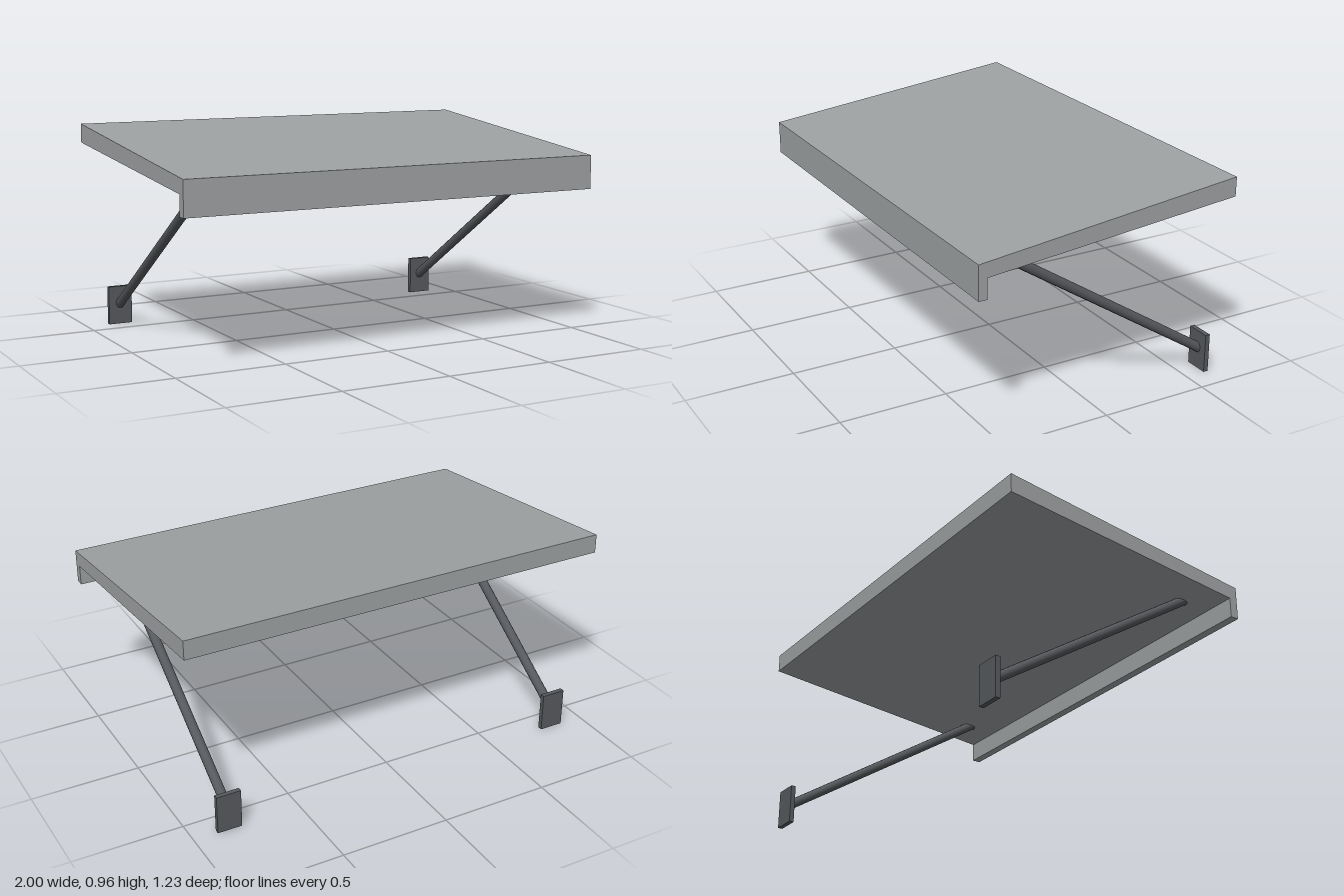
import * as THREE from 'three';

export function createModel() {
  const model = new THREE.Group();
  model.name = 'awning';
  const roofGrey = new THREE.MeshStandardMaterial({ color: 0x9ea1a2 });
  roofGrey.name = 'roof grey';
  const darkSteel = new THREE.MeshStandardMaterial({ color: 0x56595d });
  darkSteel.name = 'dark steel';

  // Sloping roof with a front lip: side profile (z, y) extruded across x
  const profile = new THREE.Shape([
    [0.615, 0.825], [-0.615, 0.957], [-0.615, 0.87],
    [0.575, 0.762], [0.575, 0.67], [0.615, 0.67],
  ].map(([z, y]) => new THREE.Vector2(z, y)));
  const roofGeometry = new THREE.ExtrudeGeometry(profile, { depth: 2, bevelEnabled: false });
  roofGeometry.translate(0, 0, -1).rotateY(-Math.PI / 2);
  const roof = new THREE.Mesh(roofGeometry, roofGrey);
  roof.name = 'roof';
  model.add(roof);

  // Diagonal struts and their wall plates, one on each side
  const plateGeometry = new THREE.BoxGeometry(0.113, 0.18, 0.022);
  const bottom = new THREE.Vector3(0, 0.095, -0.603);
  const top = new THREE.Vector3(0, 0.788, 0.455);
  const along = top.clone().sub(bottom);
  const strutGeometry = new THREE.CylinderGeometry(0.022, 0.022, along.length(), 12);
  const tilt = new THREE.Quaternion().setFromUnitVectors(
    new THREE.Vector3(0, 1, 0), along.clone().normalize());

  for (const [side, x] of [['left', 0.834], ['right', -0.834]]) {
    const bracket = new THREE.Group();
    bracket.name = side + 'Bracket';
    bracket.position.x = x;

    const plate = new THREE.Mesh(plateGeometry, darkSteel);
    plate.name = side + 'WallPlate';
    plate.position.set(0, 0.09, -0.604);

    const strut = new THREE.Mesh(strutGeometry, darkSteel);
    strut.name = side + 'Strut';
    strut.position.copy(bottom).add(top).multiplyScalar(0.5);
    strut.quaternion.copy(tilt);

    bracket.add(plate, strut);
    model.add(bracket);
  }
  return model;
}
